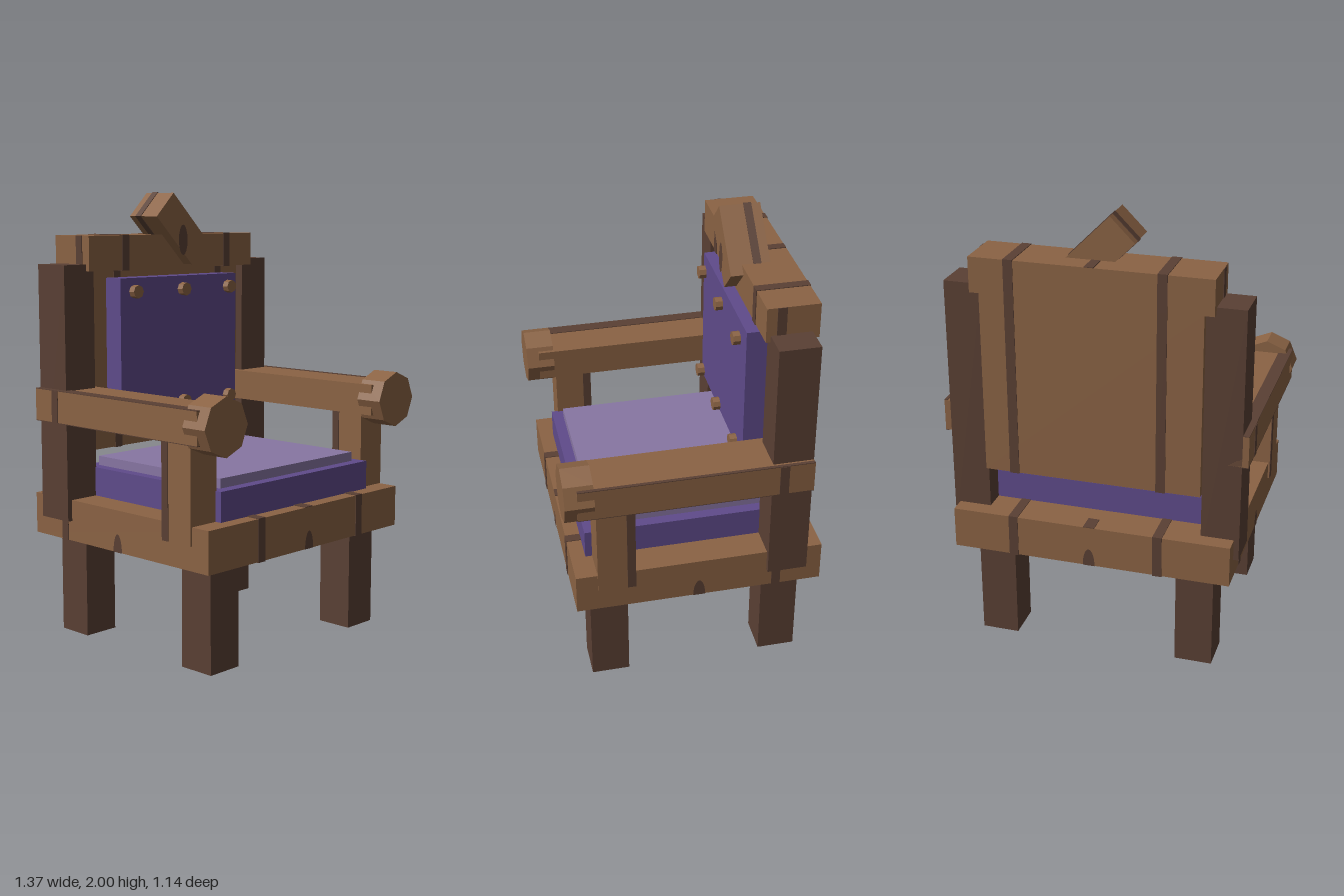
import * as THREE from 'three';

export function createModel() {
  const mat = (name, color) => {
    const m = new THREE.MeshStandardMaterial({ color });
    m.name = name;
    return m;
  };
  const wood = mat('wood', 0x8b6344);
  const darkWood = mat('darkWood', 0x5a4034);
  const purple = mat('purpleCloth', 0x5f4b8b);
  const lilac = mat('lilacCloth', 0x8876a3);

  const chair = new THREE.Group();
  chair.name = 'armchair';

  const add = (name, geometry, material, parent = chair) => {
    const mesh = new THREE.Mesh(geometry, material);
    mesh.name = name;
    parent.add(mesh);
    return mesh;
  };
  // Box given by its limits on each axis
  const box = (name, material, [x0, x1], [y0, y1], [z0, z1], parent) => {
    const mesh = add(name, new THREE.BoxGeometry(x1 - x0, y1 - y0, z1 - z0), material, parent);
    mesh.position.set((x0 + x1) / 2, (y0 + y1) / 2, (z0 + z1) / 2);
    return mesh;
  };
  const T = 0.003; // thickness of the painted grain
  const grow = ([a, b]) => [a - T, b + T];
  // Grain bands wrapped round a board at the given x positions
  const grainX = (x, y, z, parent) => {
    for (const c of x) box('grainBand', darkWood, [c - 0.021, c + 0.021], grow(y), grow(z), parent);
  };
  // Grain patches on the two side faces of a board
  const grainSides = ([x0, x1], y, z, parent) => {
    box('sideGrain', darkWood, [x0 - T, x0], y, z, parent);
    box('sideGrain', darkWood, [x1, x1 + T], y, z, parent);
  };
  // Rounded knot, whole or cut off at its base
  const knot = (rx, ry, end, x, y, z, turn = 0, parent = chair) => {
    const shape = new THREE.Shape();
    shape.absellipse(0, 0, rx, ry, 0, end, false, 0);
    const k = add('knot', new THREE.ShapeGeometry(shape, 8), darkWood, parent);
    k.position.set(x, y, z);
    k.rotation.y = turn;
  };
  const bands = [-0.307, 0.347];

  // Seat board
  const seatX = [-0.625, 0.625], seatY = [0.46, 0.645], seatZ = [-0.57, 0.53];
  box('seatBoard', wood, seatX, seatY, seatZ);
  grainX(bands, seatY, seatZ);
  grainSides(seatX, seatY, [-0.385, -0.345]);
  box('topGrain', darkWood, [-0.025, 0.025], [0.645, 0.648], [0.45, 0.53]);
  box('topGrain', darkWood, [-0.025, 0.025], [0.645, 0.648], [-0.57, -0.49]);
  knot(0.027, 0.08, Math.PI, 0, 0.46, 0.53 + T);
  knot(0.027, 0.08, Math.PI, 0, 0.46, -0.57 - T, Math.PI);
  for (const s of [-1, 1]) knot(0.027, 0.08, Math.PI, s * (0.625 + T), 0.46, -0.015, s * Math.PI / 2);

  // Seat cushion in two layers
  box('seatCushion', purple, [-0.485, 0.485], [0.645, 0.775], [-0.4, 0.465]);
  box('cushionTop', lilac, [-0.437, 0.437], [0.775, 0.817], [-0.35, 0.415]);

  // Back panel and top rail
  const panelX = [-0.48, 0.48], panelY = [0.845, 1.66], backZ = [-0.36, -0.527];
  const panelZ = [backZ[1], backZ[0]];
  box('backPanel', wood, panelX, panelY, panelZ);
  grainX(bands, panelY, panelZ);
  const railX = [-0.522, 0.522], railY = [1.655, 1.81], railZ = [-0.527, -0.3];
  box('topRail', wood, railX, railY, railZ);
  grainX(bands, railY, railZ);
  grainSides(railX, railY, [-0.385, -0.345]);
  box('topGrain', darkWood, [-0.02, 0.02], [1.81, 1.813], [-0.527, -0.43]);

  // Back cushion with six buttons
  box('backCushion', purple, [-0.373, 0.373], [0.98, 1.62], [-0.36, -0.263]);
  for (const x of [-0.302, 0, 0.302]) {
    for (const y of [1.037, 1.56]) {
      const button = add('button', new THREE.CylinderGeometry(0.03, 0.03, 0.032, 8).toNonIndexed(), wood);
      button.geometry.computeVertexNormals();
      button.rotation.x = Math.PI / 2;
      button.position.set(x, y, -0.235);
    }
  }

  // Tilted crest block
  const crest = new THREE.Group();
  crest.name = 'crest';
  crest.position.set(0, 1.835, -0.335);
  crest.rotation.z = -Math.PI / 4;
  chair.add(crest);
  box('crestBlock', wood, [-0.157, 0.157], [-0.075, 0.075], [-0.09, 0.09], crest);
  box('grainBand', darkWood, [-0.157 - T, 0.157 + T], [-0.075 - T, 0.075 + T], [-0.05, -0.015], crest);
  knot(0.028, 0.07, Math.PI * 2, 0, 1.785, -0.245 + T);

  // Legs, posts and arms, once for each side
  for (const s of [-1, 1]) {
    const side = new THREE.Group();
    side.name = s > 0 ? 'leftSide' : 'rightSide';
    chair.add(side);
    const span = (a, b) => (s > 0 ? [a, b] : [-b, -a]);

    box('frontLeg', darkWood, span(0.373, 0.541), [0, 0.46], [0.29, 0.46], side);
    box('backLeg', darkWood, span(0.373, 0.541), [0, 0.46], [-0.495, -0.325], side);
    box('backPost', darkWood, span(0.48, 0.648), [0.55, 1.685], [-0.497, -0.32], side);

    box('armSupport', wood, span(0.48, 0.632), [0.565, 1.0], [0.268, 0.435], side);
    grainSides(span(0.48, 0.632), [0.565, 0.995], [0.268, 0.305], side);

    const armX = span(0.45, 0.675);
    box('armrest', wood, armX, [0.995, 1.135], [-0.497, 0.515], side);
    grainSides(armX, [0.995, 1.135], [-0.385, -0.345], side);
    const inner = s > 0 ? 0.66 : 0.618;
    box('armGrain', darkWood, span(inner, 0.675), [1.135, 1.138], [-0.497, 0.515], side);
    box('armGrain', darkWood, span(inner, 0.675), [0.992, 0.995], [-0.497, 0.515], side);

    const geo = new THREE.CylinderGeometry(0.125, 0.125, 0.126, 8).toNonIndexed();
    geo.computeVertexNormals();
    const knob = add('armKnob', geo, wood, side);
    knob.rotation.x = Math.PI / 2;
    knob.position.set(s * 0.562, 1.065, 0.507);
  }
  return chair;
}
